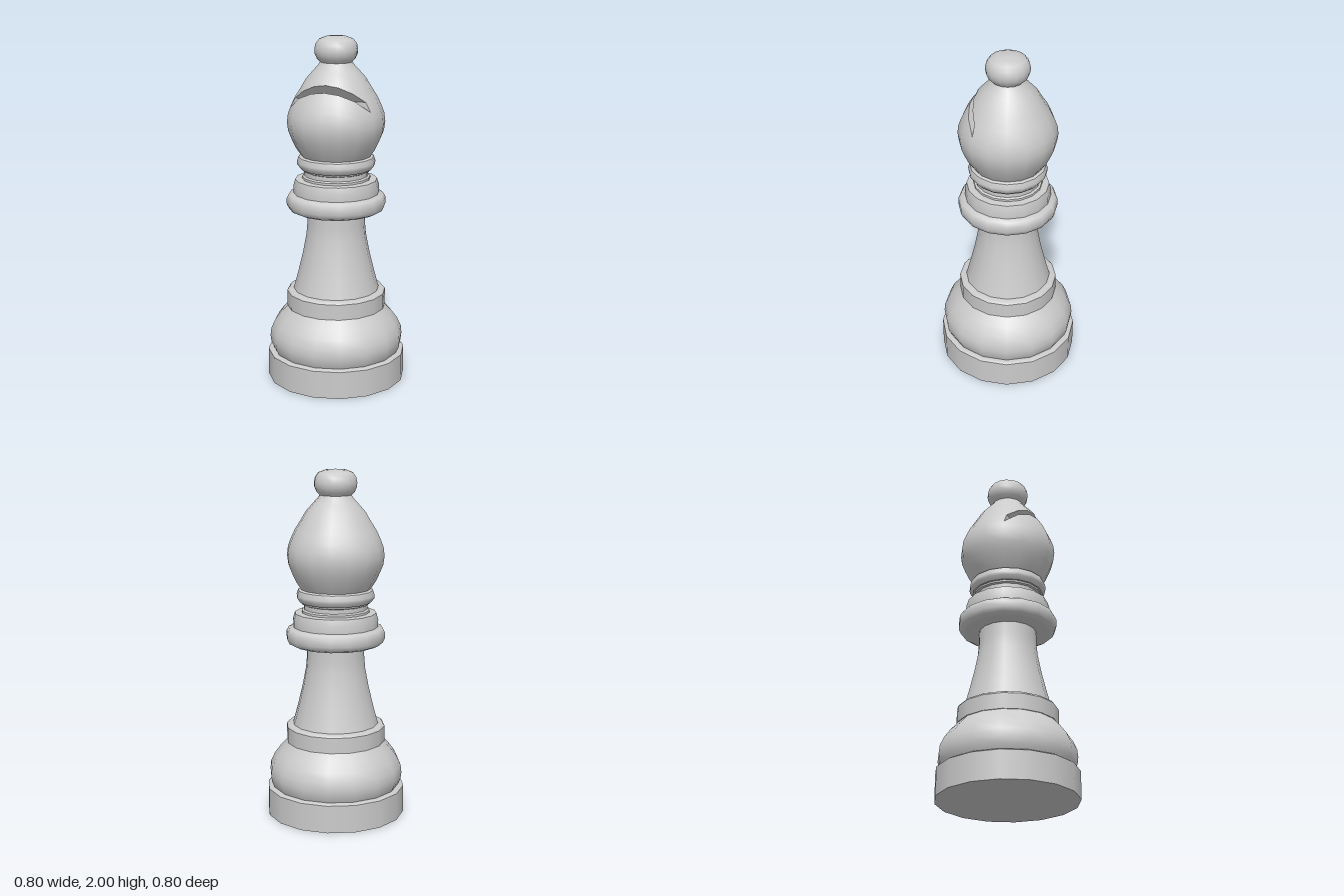
import * as THREE from 'three';
import { mergeGeometries } from 'three/addons/utils/BufferGeometryUtils.js';

const SIDES = 16;
const grey = new THREE.MeshStandardMaterial({ color: 0xcccccc });
const greyDouble = new THREE.MeshStandardMaterial({ color: 0xcccccc, side: THREE.DoubleSide });

// Turned part: each run of [radius, y] is smooth, with a sharp edge between runs
function turned(name, ...runs) {
  const parts = runs.map((run) =>
    new THREE.LatheGeometry(run.map(([r, y]) => new THREE.Vector2(r, y)), SIDES));
  const mesh = new THREE.Mesh(mergeGeometries(parts), grey);
  mesh.name = name;
  return mesh;
}

const headProfile = [
  [0.2, 1.325], [0.23, 1.37], [0.253, 1.42], [0.271, 1.465], [0.278, 1.515], [0.272, 1.565],
  [0.255, 1.61], [0.232, 1.66], [0.2, 1.71], [0.17, 1.762], [0.132, 1.805], [0.1, 1.84], [0.088, 1.86],
];

// Slot corners as [z, y]: the floor edge, the roof edge and their lips
const floorIn = [0.105, 1.6], floorOut = [0.2, 1.71];
const roofIn = [0.105, 1.655], roofOut = [0.18, 1.75];

// Signed distance-like rule for the line a-b, positive above it
const above = (a, b) => (z, y) => (y - a[1]) * (b[0] - a[0]) - (z - a[0]) * (b[1] - a[1]);
const overFloor = above(floorIn, floorOut), overRoof = above(roofIn, roofOut);
const slotPlanes = [(z) => z - floorIn[0], overFloor, (z, y) => -overRoof(z, y)];

// Splits a polygon of {p, n} corners and keeps the side where sign * rule >= 0
function clip(poly, rule, sign) {
  const out = [];
  poly.forEach((a, i) => {
    const b = poly[(i + 1) % poly.length];
    const da = sign * rule(a.p.z, a.p.y), db = sign * rule(b.p.z, b.p.y);
    if (da >= 0) out.push(a);
    if (da * db < 0) {
      const t = da / (da - db);
      out.push({ p: a.p.clone().lerp(b.p, t), n: a.n.clone().lerp(b.n, t).normalize() });
    }
  });
  return out;
}

// Head shell with the slot taken out of its skin
function slottedShell() {
  const g = new THREE.LatheGeometry(headProfile.map(([r, y]) => new THREE.Vector2(r, y)), SIDES).toNonIndexed();
  const pos = [], nor = [];
  const emit = (poly) => {
    for (let i = 1; i < poly.length - 1; i++) {
      for (const v of [poly[0], poly[i], poly[i + 1]]) {
        pos.push(...v.p.toArray());
        nor.push(...v.n.toArray());
      }
    }
  };
  for (let i = 0; i < g.attributes.position.count; i += 3) {
    let rest = [0, 1, 2].map((k) => ({
      p: new THREE.Vector3().fromBufferAttribute(g.attributes.position, i + k),
      n: new THREE.Vector3().fromBufferAttribute(g.attributes.normal, i + k),
    }));
    for (const plane of slotPlanes) {
      emit(clip(rest, plane, -1));
      rest = clip(rest, plane, 1);
    }
  }
  const shell = new THREE.BufferGeometry();
  shell.setAttribute('position', new THREE.Float32BufferAttribute(pos, 3));
  shell.setAttribute('normal', new THREE.Float32BufferAttribute(nor, 3));
  return shell;
}

// Half width in x of the many-sided head at a given z and y
function halfWidth(z, y) {
  let i = 0;
  while (i < headProfile.length - 2 && headProfile[i + 1][1] < y) i++;
  const [r0, y0] = headProfile[i], [r1, y1] = headProfile[i + 1];
  const apothem = (r0 + (r1 - r0) * (y - y0) / (y1 - y0)) * Math.cos(Math.PI / SIDES);
  let w = Infinity;
  for (let k = 0; k < SIDES / 2; k++) {
    const a = (2 * k + 1) * Math.PI / SIDES;
    w = Math.min(w, (apothem - z * Math.cos(a)) / Math.sin(a));
  }
  return Math.max(w, 0);
}

// Flat wall of the slot, running from a to b and as wide as the head there
function slotWall(a, b, steps = 24) {
  const pos = [], index = [];
  for (let i = 0; i <= steps; i++) {
    const t = i / steps;
    const z = a[0] + (b[0] - a[0]) * t, y = a[1] + (b[1] - a[1]) * t;
    const w = halfWidth(z, y);
    pos.push(-w, y, z, w, y, z);
    if (i < steps) {
      const k = 2 * i;
      index.push(k, k + 1, k + 3, k, k + 3, k + 2);
    }
  }
  const g = new THREE.BufferGeometry();
  g.setAttribute('position', new THREE.Float32BufferAttribute(pos, 3));
  g.setIndex(index);
  g.computeVertexNormals();
  return g;
}

export function createModel() {
  const model = new THREE.Group();
  model.name = 'chessBishop';

  // Foot and swelling base
  model.add(turned('foot',
    [[0, 0], [0.4, 0]],
    [[0.4, 0], [0.4, 0.16]],
    [[0.4, 0.16], [0.388, 0.168], [0.365, 0.168]]));
  model.add(turned('baseBulge',
    [[0.368, 0.168], [0.383, 0.2], [0.388, 0.24], [0.383, 0.285], [0.36, 0.335], [0.325, 0.382], [0.28, 0.43]]));
  model.add(turned('baseCollar',
    [[0.27, 0.43], [0.286, 0.43]],
    [[0.286, 0.43], [0.286, 0.52]],
    [[0.286, 0.52], [0.275, 0.533], [0.24, 0.535]]));

  // Tapering stem
  model.add(turned('stem',
    [[0.249, 0.53], [0.222, 0.63], [0.193, 0.75], [0.172, 0.86], [0.166, 0.93], [0.165, 1.01]]));

  // Stacked neck rings
  model.add(turned('neckFlange',
    [[0.15, 1.002], [0.245, 1.002]],
    [[0.245, 1.002], [0.272, 1.015], [0.284, 1.04], [0.284, 1.075], [0.272, 1.098], [0.24, 1.11]]));
  model.add(turned('neckStep',
    [[0.245, 1.108], [0.245, 1.15], [0.234, 1.187]],
    [[0.234, 1.187], [0.18, 1.192]]));
  model.add(turned('neckGroove',
    [[0.195, 1.188], [0.195, 1.203]],
    [[0.195, 1.203], [0.183, 1.21]],
    [[0.183, 1.21], [0.183, 1.235]],
    [[0.183, 1.235], [0.195, 1.24]],
    [[0.195, 1.24], [0.195, 1.255]]));
  model.add(turned('upperRing',
    [[0.18, 1.25], [0.205, 1.25]],
    [[0.205, 1.25], [0.222, 1.272], [0.224, 1.29], [0.215, 1.318]],
    [[0.215, 1.318], [0.195, 1.328]]));

  // Head and its slanted slot
  const head = new THREE.Group();
  head.name = 'head';
  const shell = new THREE.Mesh(slottedShell(), grey);
  shell.name = 'headShell';
  const walls = new THREE.Mesh(mergeGeometries([
    slotWall(floorIn, floorOut), slotWall(floorIn, roofIn), slotWall(roofIn, roofOut),
  ]), greyDouble);
  walls.name = 'slotWalls';
  head.add(shell, walls);
  model.add(head);

  // Finial
  model.add(turned('topKnob',
    [[0.085, 1.85], [0.108, 1.873], [0.12, 1.9], [0.122, 1.925], [0.116, 1.955], [0.098, 1.98], [0.06, 1.995], [0, 2]]));

  return model;
}
